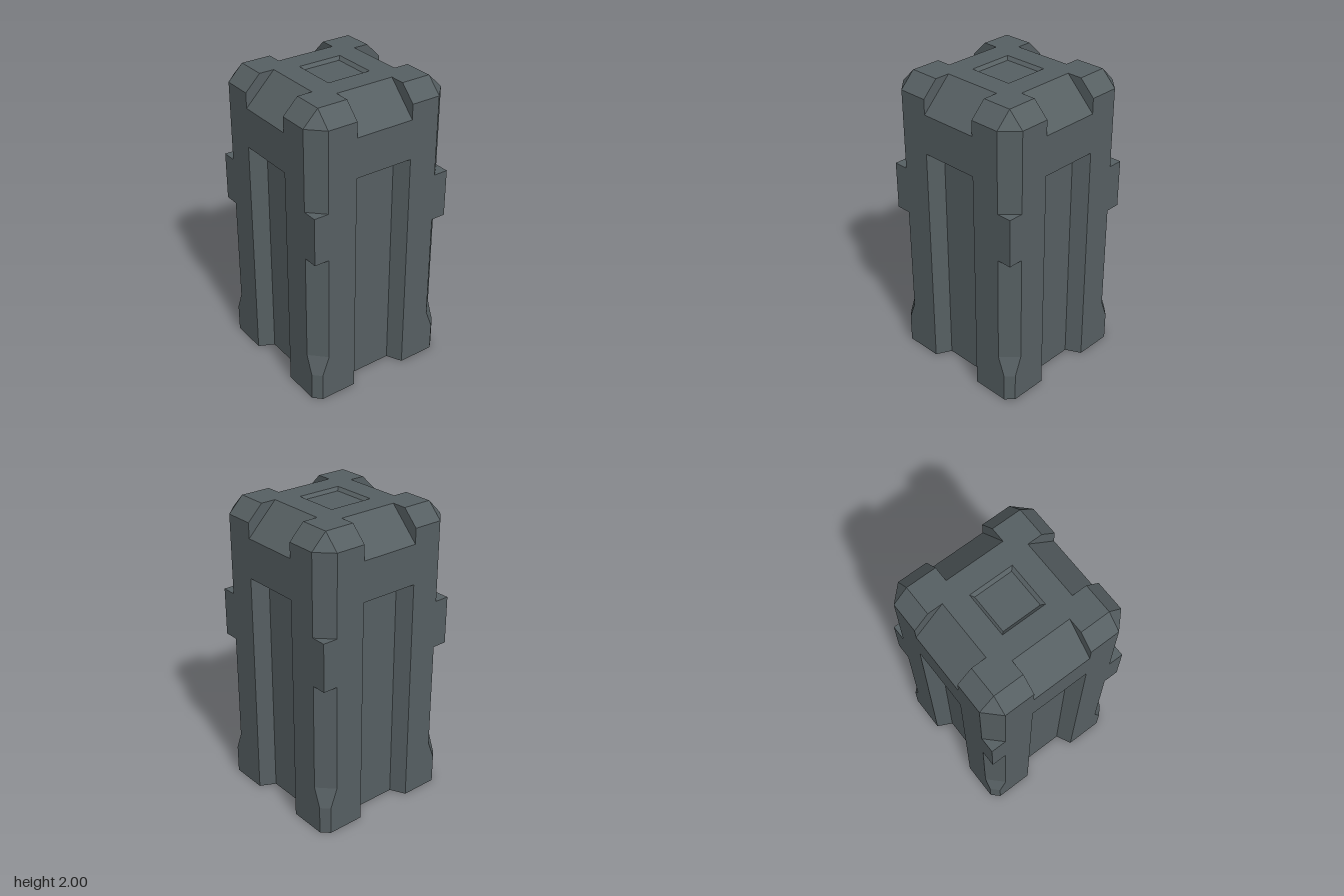
import * as THREE from 'three';
import { mergeGeometries } from 'three/addons/utils/BufferGeometryUtils.js';

const V = (x, y, z) => new THREE.Vector3(x, y, z);

// Flat convex face through the given corners, turned so that it faces "out".
function facet(corners, out) {
  const p = corners.map((c) => V(...c));
  const n = p[1].clone().sub(p[0]).cross(p[2].clone().sub(p[0]));
  if (n.dot(V(...out)) < 0) p.reverse();
  const tris = [];
  for (let i = 1; i < p.length - 1; i++) tris.push(p[0], p[i], p[i + 1]);
  const g = new THREE.BufferGeometry().setFromPoints(tris);
  g.computeVertexNormals();
  return g;
}

const toShape = (pts) => new THREE.Shape(pts.map(([x, y]) => new THREE.Vector2(x, y)));

// Outline repeated by quarter turns, for the top and bottom caps.
function quarterTurned(pts) {
  const all = [];
  for (let k = 0; k < 4; k++) {
    for (const [x, y] of pts) {
      const c = Math.round(Math.cos(k * Math.PI / 2)), s = Math.round(Math.sin(k * Math.PI / 2));
      all.push([x * c - y * s, x * s + y * c]);
    }
  }
  return toShape(all);
}

export function createModel() {
  const model = new THREE.Group();
  model.name = 'pillar';
  const metal = new THREE.MeshStandardMaterial({ color: 0x565f62 });
  metal.name = 'dark grey metal';
  const add = (name, geometry, parent) => {
    const m = new THREE.Mesh(geometry, metal);
    m.name = name;
    parent.add(m);
  };

  // Outer wall: shoulders, corner band, foot and open-bottomed panel cutout
  const half = [[0.2, 1.8], [0.2, 1.9], [0.4, 1.9], [0.4, 1.37], [0.5, 1.37], [0.5, 1.05],
    [0.4, 1.05], [0.4, 0.32], [0.45, 0.19], [0.45, 0], [0.2, 0], [0.2, 1.54]];
  const mirrored = half.map(([x, y]) => [-x, y]).reverse();
  const wall = new THREE.ShapeGeometry(toShape([...half, ...mirrored])).translate(0, 0, 0.5);

  // Sunken panel with bevelled sides and top
  const panel = [
    facet([[-0.15, 0, 0.4], [0.15, 0, 0.4], [0.15, 1.49, 0.4], [-0.15, 1.49, 0.4]], [0, 0, 1]),
    facet([[-0.15, 1.49, 0.4], [0.15, 1.49, 0.4], [0.2, 1.54, 0.5], [-0.2, 1.54, 0.5]], [0, -1, 0]),
  ];
  // Sloped notch in the top edge, and the bevel on both sides of it
  const notch = [
    facet([[-0.2, 1.8, 0.5], [0.2, 1.8, 0.5], [0.2, 2, 0.3], [-0.2, 2, 0.3]], [0, 1, 1]),
  ];
  const bevel = [];
  for (const s of [-1, 1]) {
    panel.push(facet([[s * 0.2, 0, 0.5], [s * 0.15, 0, 0.4], [s * 0.15, 1.49, 0.4], [s * 0.2, 1.54, 0.5]], [-s, 0, 0]));
    notch.push(facet([[s * 0.2, 1.8, 0.5], [s * 0.2, 1.9, 0.5], [s * 0.2, 2, 0.4], [s * 0.2, 2, 0.3]], [-s, 0, 0]));
    bevel.push(facet([[s * 0.2, 1.9, 0.5], [s * 0.4, 1.9, 0.5], [s * 0.4, 2, 0.4], [s * 0.2, 2, 0.4]], [0, 1, 1]));
  }

  // Chamfered corner: [lower y, inset, upper y, inset], broken by a square band
  const corner = [[0, 0.05, 0.19, 0.05], [0.19, 0.05, 0.32, 0.1], [0.32, 0.1, 1.05, 0.1], [1.37, 0.1, 1.9, 0.1]]
    .map(([y0, a, y1, b]) => facet([[0.5 - a, y0, 0.5], [0.5, y0, 0.5 - a], [0.5, y1, 0.5 - b], [0.5 - b, y1, 0.5]], [1, 0, 1]));
  corner.push(facet([[0.4, 1.9, 0.5], [0.5, 1.9, 0.4], [0.4, 2, 0.4]], [1, 1, 1]));
  const band = [[1.37, 1], [1.05, -1]]
    .map(([y, d]) => facet([[0.4, y, 0.5], [0.5, y, 0.5], [0.5, y, 0.4]], [0, d, 0]));

  const parts = {
    wall, sunkenPanel: mergeGeometries(panel), topNotch: mergeGeometries(notch),
    topBevel: mergeGeometries(bevel), cornerChamfer: mergeGeometries(corner), cornerBandEnds: mergeGeometries(band),
  };
  for (let k = 0; k < 4; k++) {
    const side = new THREE.Group();
    side.name = `side${k + 1}`;
    side.rotation.y = k * Math.PI / 2;
    for (const [name, g] of Object.entries(parts)) add(name, g, side);
    model.add(side);
  }

  // Top cap with a shallow square recess
  const cap = quarterTurned([[0.4, -0.2], [0.3, -0.2], [0.3, 0.2], [0.4, 0.2], [0.4, 0.4]]);
  cap.holes.push(toShape([[-0.15, -0.15], [-0.15, 0.15], [0.15, 0.15], [0.15, -0.15]]));
  add('topCap', new THREE.ShapeGeometry(cap).rotateX(-Math.PI / 2).translate(0, 2, 0), model);
  const recess = [new THREE.PlaneGeometry(0.26, 0.26).rotateX(-Math.PI / 2).translate(0, 1.98, 0).toNonIndexed()];
  recess[0].deleteAttribute('uv');
  for (let k = 0; k < 4; k++) {
    recess.push(facet([[-0.15, 2, 0.15], [0.15, 2, 0.15], [0.13, 1.98, 0.13], [-0.13, 1.98, 0.13]], [0, 1, -1])
      .rotateY(k * Math.PI / 2));
  }
  add('topRecess', mergeGeometries(recess), model);

  // Underside following the foot outline
  const foot = quarterTurned([[0.5, -0.2], [0.4, -0.15], [0.4, 0.15], [0.5, 0.2], [0.5, 0.45], [0.45, 0.5]]);
  add('underside', new THREE.ShapeGeometry(foot).rotateX(Math.PI / 2), model);
  return model;
}
